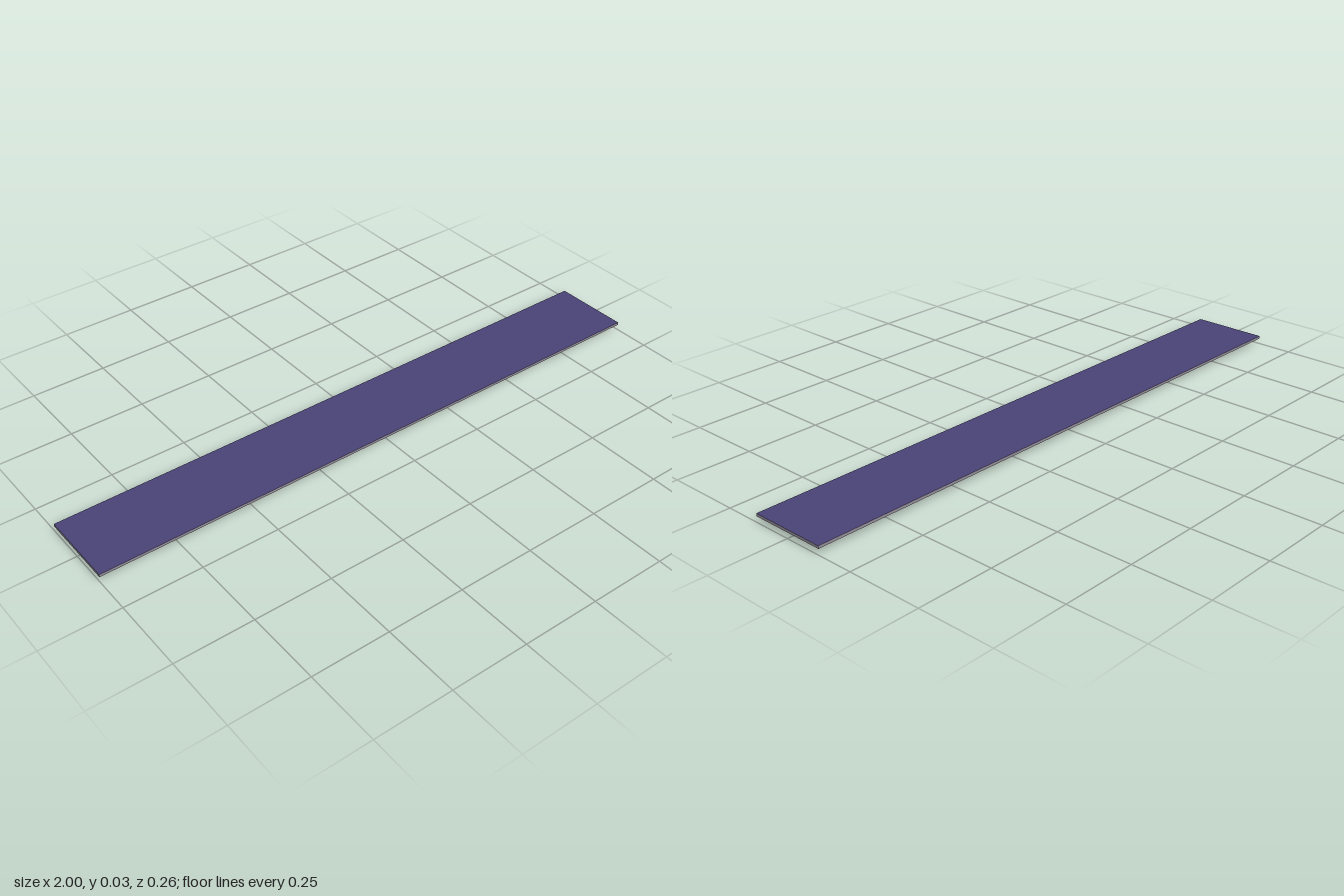
import * as THREE from 'three';

export function createModel() {
  const model = new THREE.Group();
  const purple = new THREE.MeshStandardMaterial({ color: 0x4a4478 });
  const grey = new THREE.MeshStandardMaterial({ color: 0x958e9a });

  const box = (name, size, pos, material = grey) => {
    const mesh = new THREE.Mesh(new THREE.BoxGeometry(...size), material);
    mesh.name = name;
    mesh.position.set(...pos);
    model.add(mesh);
    return mesh;
  };

  // Flat board: grey edges and underside, coloured top face
  box('board', [2, 0.009, 0.258], [0, 0.0235, 0],
    [grey, grey, purple, grey, grey, grey]);

  // Two long rails under the board
  for (const side of [-1, 1]) {
    box(side > 0 ? 'frontRail' : 'backRail', [1.925, 0.016, 0.008], [0, 0.011, side * 0.071]);
  }

  // Three cross channels between the rails, open downwards
  const w = 0.015, t = 0.004, h = 0.019;
  const channel = new THREE.Shape([
    [-w, 0], [-w + t, 0], [-w + t, h - t], [w - t, h - t],
    [w - t, 0], [w, 0], [w, h], [-w, h],
  ].map(([x, y]) => new THREE.Vector2(x, y)));
  const barGeometry = new THREE.ExtrudeGeometry(channel, { depth: 0.15, bevelEnabled: false });
  barGeometry.translate(0, 0, -0.075);
  for (const x of [-0.78, 0, 0.78]) {
    const bar = new THREE.Mesh(barGeometry, grey);
    bar.name = 'crossBar';
    bar.position.x = x;
    model.add(bar);
  }

  return model;
}
